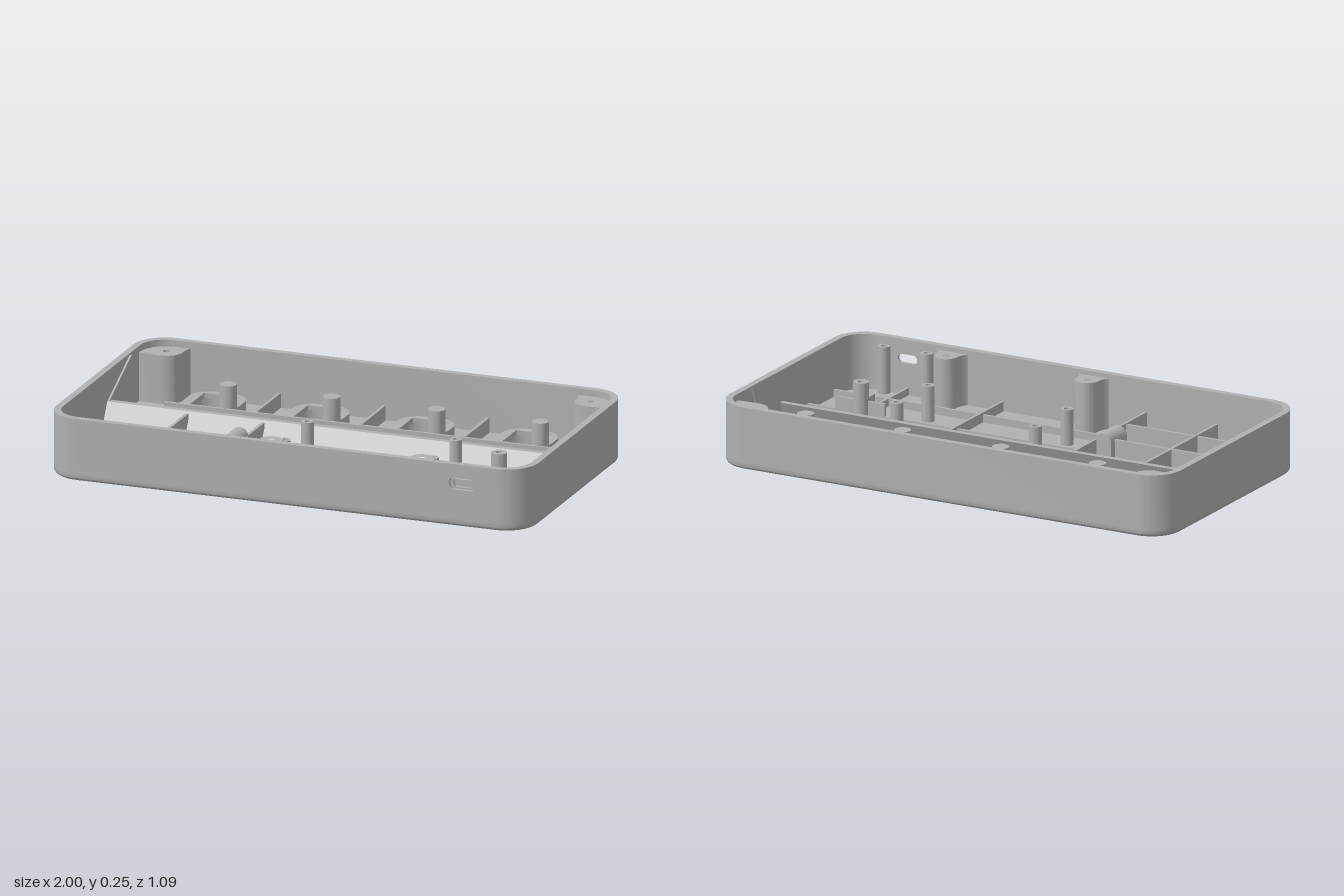
import * as THREE from 'three';
import { toCreasedNormals } from 'three/addons/utils/BufferGeometryUtils.js';

const HW = 1, HD = 0.545, R = 0.13, H = 0.253, WALL = 0.028, FLOOR = 0.03;
const PI = Math.PI;

export function createModel() {
  const group = new THREE.Group();
  const grey = new THREE.MeshStandardMaterial({ color: 0xb0b0b0 });
  grey.name = 'grey plastic';

  const add = (name, geo) => {
    const mesh = new THREE.Mesh(toCreasedNormals(geo, 0.5), grey);
    mesh.name = name;
    group.add(mesh);
    return mesh;
  };
  const extrude = (shape, depth) =>
    new THREE.ExtrudeGeometry(shape, { depth, bevelEnabled: false, curveSegments: 10 });
  // Plan shape (x, -z) raised from y0 to y1
  const slab = (name, shape, y0, y1) =>
    add(name, extrude(shape, y1 - y0).rotateX(-PI / 2).translate(0, y0, 0));
  // Side profile of [z, y] points running along x
  const alongX = (name, pts, x0, x1) => {
    const shape = new THREE.Shape(pts.map(([z, y]) => new THREE.Vector2(-z, y)));
    return add(name, extrude(shape, x1 - x0).rotateY(PI / 2).translate(x0, 0, 0));
  };
  const box = (name, x0, x1, y0, y1, z0, z1) =>
    add(name, new THREE.BoxGeometry(x1 - x0, y1 - y0, z1 - z0)
      .translate((x0 + x1) / 2, (y0 + y1) / 2, (z0 + z1) / 2));
  const ribX = (z, x0, x1, h) => box('crossRib', x0, x1, FLOOR - 0.005, h, z - 0.006, z + 0.006);
  const ribZ = (x, z0, z1, h) => box('lengthRib', x - 0.006, x + 0.006, FLOOR - 0.005, h, z0, z1);
  // Hollow round post
  const post = (name, x, z, ro, ri, top) => {
    const pts = [[ro, FLOOR - 0.005], [ro, top], [ri, top], [ri, FLOOR]];
    add(name, new THREE.LatheGeometry(pts.map(p => new THREE.Vector2(...p)), 24).translate(x, 0, z));
  };
  const roundRect = (path, cx, cy, w, h, r) => {
    const a = w / 2 - r, b = h / 2 - r;
    path.absarc(cx + a, cy - b, r, -PI / 2, 0);
    path.absarc(cx + a, cy + b, r, 0, PI / 2);
    path.absarc(cx - a, cy + b, r, PI / 2, PI);
    path.absarc(cx - a, cy - b, r, PI, 1.5 * PI);
    path.closePath();
    return path;
  };
  const circleHole = (shape, x, y, r) =>
    shape.holes.push(new THREE.Path().absarc(x, y, r, 0, 2 * PI, true));

  // Rounded bottom edge, swept as loops around the case
  const profile = [];
  for (let i = 0; i <= 6; i++) {
    const a = i / 6 * PI / 2;
    profile.push([0.02 * (1 - Math.sin(a)), 0.02 * (1 - Math.cos(a))]);
  }
  profile.push([0, FLOOR]);
  const pos = [], idx = [], N = 48;
  for (const [d, y] of profile) {
    for (let q = 0; q < 4; q++) for (let k = 0; k < N / 4; k++) {
      const a = (q - 1 + k / (N / 4 - 1)) * PI / 2;
      const cx = (q < 2 ? 1 : -1) * (HW - R), cy = (q === 1 || q === 2 ? 1 : -1) * (HD - R);
      pos.push(cx + (R - d) * Math.cos(a), y, -cy - (R - d) * Math.sin(a));
    }
  }
  for (let j = 0; j < profile.length - 1; j++) for (let i = 0; i < N; i++) {
    const a = j * N + i, b = j * N + (i + 1) % N;
    idx.push(a, b, b + N, a, b + N, a + N);
  }
  const skirt = new THREE.BufferGeometry();
  skirt.setAttribute('position', new THREE.Float32BufferAttribute(pos, 3));
  skirt.setIndex(idx);
  add('bottomEdge', skirt);

  // Outer wall, open where the port panel sits
  const ring = new THREE.Shape(), cx = HW - R, cy = HD - R, ri = R - WALL;
  const corners = [[cx, -cy], [cx, cy], [-cx, cy], [-cx, -cy]];
  ring.moveTo(cx, -HD);
  corners.forEach(([x, y], q) => ring.absarc(x, y, R, (q - 1) * PI / 2, q * PI / 2));
  ring.lineTo(0.6, -HD);
  ring.lineTo(0.6, -HD + WALL);
  for (let q = 3; q >= 0; q--) ring.absarc(...corners[q], ri, q * PI / 2, (q - 1) * PI / 2, true);
  ring.closePath();
  slab('outerWall', ring, FLOOR, H);

  // Port panel with a stepped slot
  for (const [w, h, z0, z1] of [[0.11, 0.05, 0.53, HD], [0.085, 0.036, HD - WALL, 0.53]]) {
    const panel = new THREE.Shape();
    panel.moveTo(0.6, FLOOR).lineTo(cx, FLOOR).lineTo(cx, H).lineTo(0.6, H).closePath();
    panel.holes.push(roundRect(new THREE.Path(), 0.735, 0.175, w, h, h / 2 - 0.001));
    add('portPanel', extrude(panel, z1 - z0).translate(0, 0, z0));
  }

  // Floor with the long slot and four button openings
  const buttons = [-0.65, -0.22, 0.215, 0.645], bz = -0.378;
  const floor = roundRect(new THREE.Shape(), 0, 0, 2 * HW - 0.04, 2 * HD - 0.04, R - 0.02);
  floor.holes.push(new THREE.Path().moveTo(-0.965, 0.02).lineTo(-0.965, 0.175)
    .lineTo(0.965, 0.175).lineTo(0.965, 0.02).closePath());
  for (const x of buttons) floor.holes.push(roundRect(new THREE.Path(), x, -bz, 0.205, 0.19, 0.075));
  slab('floor', floor, 0, FLOOR);

  // Button frames: rounded collar, square seat and corner post
  for (const x of buttons) {
    const collar = roundRect(new THREE.Shape(), x, -bz, 0.23, 0.215, 0.085);
    collar.holes.push(roundRect(new THREE.Path(), x, -bz, 0.205, 0.19, 0.075));
    slab('buttonCollar', collar, FLOOR - 0.002, 0.055);
    const seat = roundRect(new THREE.Shape(), x, -bz, 0.23, 0.215, 0.085);
    seat.holes.push(roundRect(new THREE.Path(), x, -bz, 0.145, 0.152, 0.002));
    slab('buttonSeat', seat, 0.055, 0.075);
    add('buttonPost', new THREE.CylinderGeometry(0.034, 0.034, 0.13, 20)
      .translate(x + 0.09, 0.115, bz + 0.088));
  }

  // Slanted plate over the slot, rear lip and slanted end cheeks
  alongX('slantedPlate', [[-0.085, 0.13], [-0.06, 0.13], [0, FLOOR], [0, 0], [-0.025, 0]], -0.975, 0.975);
  alongX('slotLip', [[-0.19, 0], [-0.172, 0], [-0.182, 0.05], [-0.19, 0.05]], -0.972, 0.972);
  for (const x of [-0.976, 0.964])
    alongX('endCheek', [[-0.3, 0.247], [-0.19, 0], [-0.02, 0], [-0.06, 0.13]], x, x + 0.012);

  // Rear ribs
  ribX(-0.255, -0.81, 0.81, 0.09);
  for (const x of [-0.435, 0, 0.43]) ribZ(x, -0.53, -0.255, 0.09);

  // Front ribs
  ribX(0.155, -0.975, -0.32, 0.125);
  ribX(0.155, -0.32, 0.975, 0.06);
  ribX(0.36, -0.975, -0.32, 0.12);
  ribX(0.36, -0.32, 0.975, 0.06);
  ribZ(-0.635, -0.045, 0.53, 0.125);
  ribZ(-0.32, -0.045, 0.53, 0.125);
  ribZ(0.315, -0.02, 0.53, 0.07);
  ribZ(0.735, 0.155, 0.53, 0.06);
  ribX(0.155, 0.63, 0.85, 0.11);
  ribZ(0.735, 0.155, 0.25, 0.11);

  // Cradle with a rounded top
  box('cradle', -0.39, -0.315, FLOOR, 0.115, 0.12, 0.245);
  add('cradleTop', new THREE.CylinderGeometry(0.0375, 0.0375, 0.125, 20)
    .rotateX(PI / 2).translate(-0.3525, 0.115, 0.1825));

  // Board standoffs and port posts
  for (const x of [-0.11, 0.505]) for (const z of [0.022, 0.27]) post('standoff', x, z, 0.025, 0.012, 0.175);
  post('centrePost', 0.735, 0.15, 0.031, 0.014, 0.187);
  for (const x of [0.64, 0.83]) post('portPost', x, 0.5, 0.025, 0.012, 0.22);

  // Flared screw bosses on the front wall
  for (const x of [-0.09, 0.535]) {
    const boss = new THREE.Shape();
    boss.moveTo(x - 0.095, -0.53);
    boss.quadraticCurveTo(x - 0.05, -0.52, x - 0.047, -0.465);
    boss.absarc(x, -0.465, 0.047, PI, 0, true);
    boss.quadraticCurveTo(x + 0.05, -0.52, x + 0.095, -0.53);
    circleHole(boss, x, -0.465, 0.014);
    slab('frontScrewBoss', boss, FLOOR - 0.002, 0.235);
  }

  // Screw bosses in the rear corners
  for (const s of [-1, 1]) {
    const boss = new THREE.Shape();
    boss.moveTo(s * 0.98, 0.4).lineTo(s * 0.885, 0.395);
    boss.quadraticCurveTo(s * 0.82, 0.4, s * 0.815, 0.46);
    boss.quadraticCurveTo(s * 0.815, 0.52, s * 0.79, 0.53);
    boss.lineTo(s * 0.88, 0.535).lineTo(s * 0.95, 0.495).lineTo(s * 0.98, 0.43).closePath();
    circleHole(boss, s * 0.88, 0.457, 0.014);
    slab('rearScrewBoss', boss, FLOOR - 0.002, 0.226);
  }
  return group;
}
